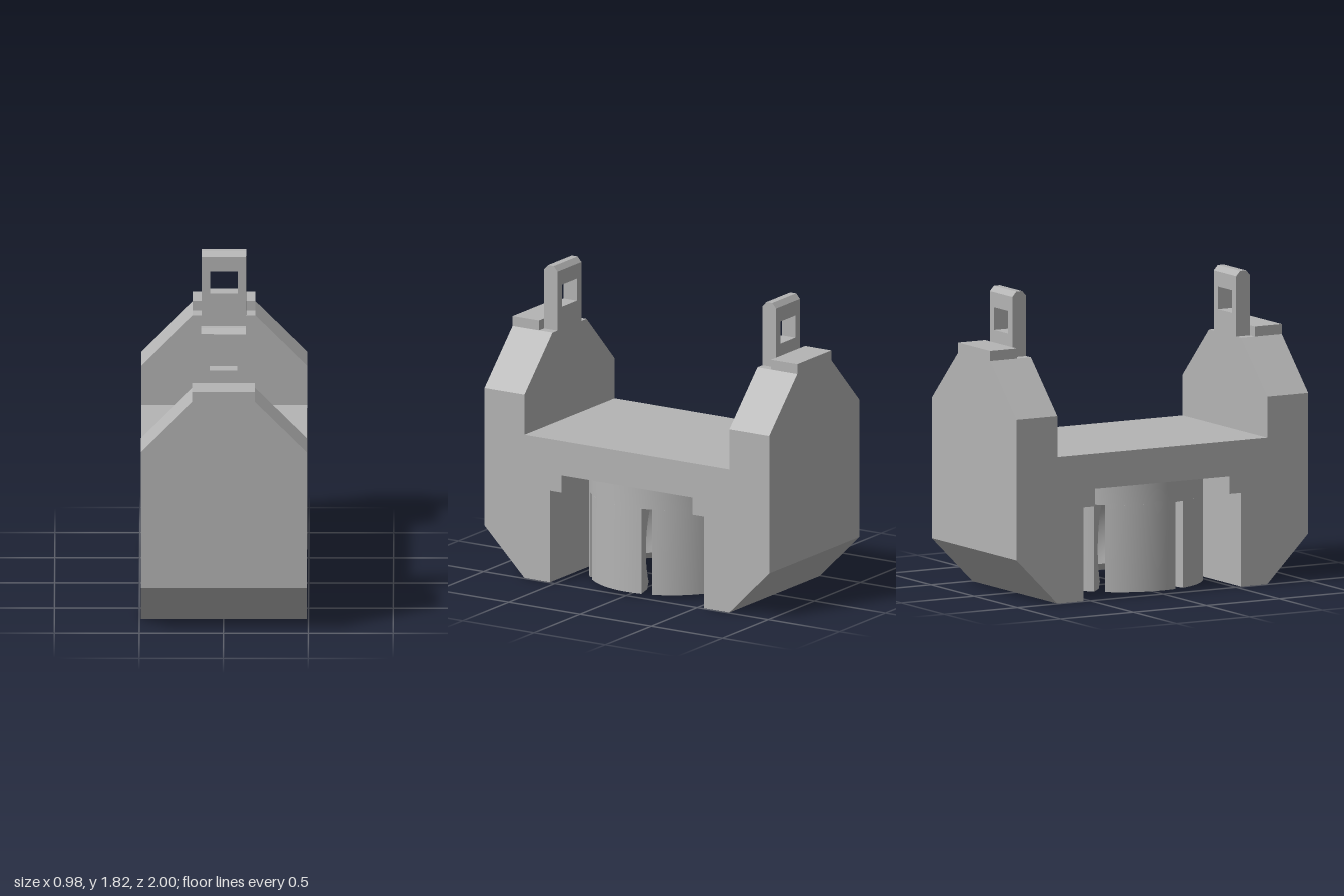
import * as THREE from 'three';
import { toCreasedNormals } from 'three/addons/utils/BufferGeometryUtils.js';

const grey = new THREE.MeshStandardMaterial({ color: 0xb4b4b4 });
grey.name = 'grey plastic';

const toShape = (pts) => new THREE.Shape(pts.map(([x, y]) => new THREE.Vector2(x, y)));

function addMesh(parent, name, geometry) {
  const mesh = new THREE.Mesh(geometry, grey);
  mesh.name = name;
  parent.add(mesh);
  return mesh;
}

// Extrude an x-y outline along z, from z0 to z1
function extrudeZ(shape, z0, z1) {
  return new THREE.ExtrudeGeometry(shape, { depth: z1 - z0, bevelEnabled: false }).translate(0, 0, z0);
}

// Extrude a z-y outline along x, centred on x = 0
function extrudeX(shape, width) {
  return extrudeZ(shape, -width / 2, width / 2).rotateY(-Math.PI / 2);
}

// Socket dimensions: outer radius, slot top, ceiling, ball cavity
const OUTER = 0.49, BOTTOM = 0.02, SLOT_TOP = 0.54, CEILING = 0.665, SLOT = 0.065;
const BALL_Y = 0.26, BALL_R = 0.405;
const ballRadius = (y) => Math.sqrt(Math.max(0, BALL_R ** 2 - (y - BALL_Y) ** 2));

// Points on the ball cavity from y0 to y1
function cavity(y0, y1, n) {
  const a0 = Math.asin((y0 - BALL_Y) / BALL_R), a1 = Math.asin((y1 - BALL_Y) / BALL_R);
  return Array.from({ length: n + 1 }, (_, i) => {
    const a = a0 + (a1 - a0) * i / n;
    return [BALL_R * Math.cos(a), BALL_Y + BALL_R * Math.sin(a)];
  });
}

// One curved finger: its cross-section swept round y between two parallel-sided slots
function fingerGeometry(start) {
  const section = toShape([
    [0.38, BOTTOM], [OUTER, BOTTOM], [OUTER, SLOT_TOP], ...cavity(SLOT_TOP, 0.06, 14),
  ]);
  const geo = new THREE.ExtrudeGeometry(section, { depth: 1, steps: 14, bevelEnabled: false });
  const p = geo.attributes.position;
  for (let i = 0; i < p.count; i++) {
    const r = p.getX(i), inset = Math.asin(SLOT / 2 / r);
    const a = start + inset + (Math.PI / 3 - 2 * inset) * p.getZ(i);
    p.setXYZ(i, r * Math.cos(a), p.getY(i), r * Math.sin(a));
  }
  return toCreasedNormals(geo, 0.5);
}

function buildSocket() {
  const socket = new THREE.Group();
  socket.name = 'ballSocket';
  for (let i = 0; i < 6; i++) {
    addMesh(socket, 'socketFinger', fingerGeometry(Math.PI / 4 + i * Math.PI / 3));
  }
  // Solid ring above the slots, hollowed by the top of the ball cavity
  const profile = [
    [ballRadius(SLOT_TOP), SLOT_TOP], [OUTER, SLOT_TOP], [OUTER, CEILING],
    ...cavity(CEILING, SLOT_TOP, 10),
  ].map(([r, y]) => new THREE.Vector2(Math.max(0, r), y));
  addMesh(socket, 'socketCrown', toCreasedNormals(new THREE.LatheGeometry(profile, 84), 0.5));
  return socket;
}

// Sloped shoulder, ledge and pierced tab on top of one end wall (at +z)
function buildWallTop() {
  const top = new THREE.Group();
  top.name = 'wallTop';
  addMesh(top, 'shoulder', extrudeZ(
    toShape([[-0.49, 1.12], [0.49, 1.12], [0.185, 1.43], [-0.185, 1.43]]), 0.72, 1));
  addMesh(top, 'ledge', extrudeZ(
    toShape([[-0.185, 1.43], [0.185, 1.43], [0.185, 1.49], [-0.185, 1.49]]), 0.815, 1));

  const plate = toShape([[-0.13, 1.43], [0.13, 1.43], [0.13, 1.79], [-0.13, 1.79]]);
  plate.holes.push(toShape([[-0.08, 1.565], [-0.08, 1.7], [0.08, 1.7], [0.08, 1.565]]));
  addMesh(top, 'tab', extrudeZ(plate, 0.72, 0.815));
  addMesh(top, 'tabTip', extrudeX(
    toShape([[0.72, 1.79], [0.815, 1.79], [0.788, 1.82], [0.747, 1.82]]), 0.26));
  return top;
}

export function createModel() {
  const model = new THREE.Group();
  model.name = 'clipBracket';

  // Bridge and both end walls, from half of the side outline mirrored in z
  const half = [
    [0.46, 0.665], [0.46, 0.56], [0.54, 0.56], [0.54, 0], [0.72, 0],
    [1, 0.28], [1, 1.12], [0.72, 1.12], [0.72, 0.875],
  ];
  const mirrored = half.map(([z, y]) => [-z, y]).reverse();
  addMesh(model, 'body', extrudeX(toShape([...half, ...mirrored]), 0.98));

  for (const turn of [0, Math.PI]) {
    const top = buildWallTop();
    top.rotation.y = turn;
    model.add(top);
  }

  model.add(buildSocket());
  return model;
}
